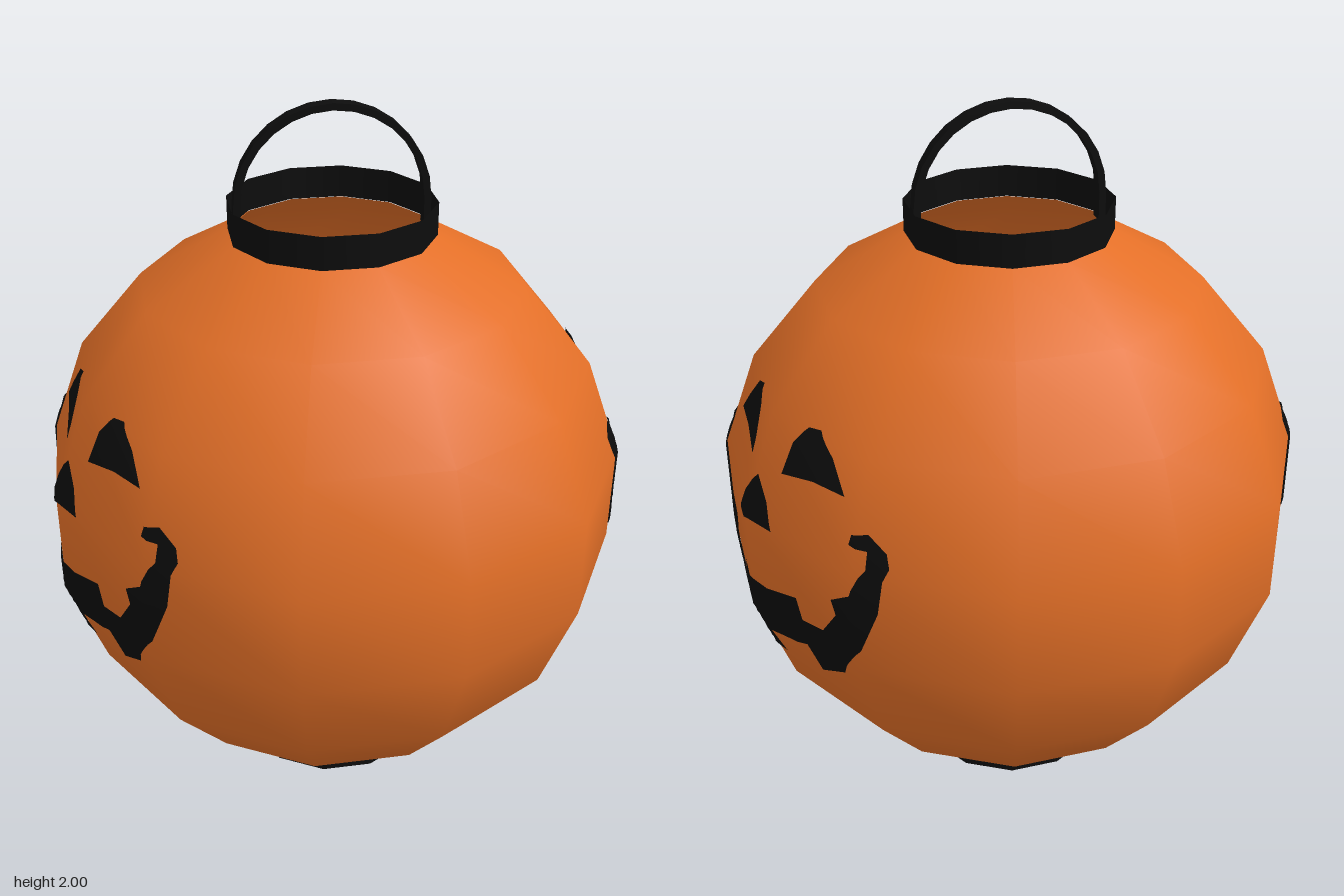
import * as THREE from 'three';

const orange = new THREE.MeshStandardMaterial({ color: 0xe36f27, side: THREE.DoubleSide });
orange.name = 'pumpkin orange';
const black = new THREE.MeshStandardMaterial({ color: 0x0d0d0d, side: THREE.DoubleSide });
black.name = 'black';

const SIDES = 12;
// Body profile: radius, height
const PROFILE = [[0.28, 0.1], [0.53, 0.24], [0.715, 0.46], [0.815, 0.735],
  [0.815, 1.02], [0.715, 1.29], [0.53, 1.51], [0.28, 1.65]];

// Face outlines in hundredths: sideways (viewer's right), height
const FACE = {
  leftEye: [-30, 117, -26, 122, -19, 129, -15, 130, -11, 126, -7.5, 119, -7, 115, -19, 117],
  rightEye: [9.5, 116.5, 10.5, 125, 14, 130, 18, 130.5, 25, 126, 32, 119, 20.5, 118.5],
  nose: [-5.5, 101, -4.5, 106.5, 1.5, 113.5, 7, 108, 11, 101.5, 2, 101.5],
  mouth: [-44, 109, -41, 112, -36.5, 111, -37, 108.5, -40, 108, -39.5, 102, -35.5, 95.5, -30, 90.5,
    -23, 88, -24, 85, -26, 80.5, -19, 78, -13, 75.5, -9, 73, -8, 83, 7, 82, 19, 85, 21, 79, 29, 80,
    34.5, 87.5, 33, 91.5, 40, 96, 43, 104, 42, 108.5, 37.5, 109, 37.5, 111.5, 41, 112.5, 45.5, 108.5,
    47, 105, 45.5, 92, 42, 80, 34, 68.5, 21, 61, 20.5, 70.5, 15, 68, 9, 66.5, 2, 64.5, 4.5, 58,
    -6, 59.5, -19, 63, -32, 70, -40, 77, -43.5, 89, -44.5, 104],
};

function part(name, geometry, material) {
  const mesh = new THREE.Mesh(geometry, material);
  mesh.name = name;
  return mesh;
}

// Distance out to the faceted body at height y, sideways offset u
function surfaceX(u, y) {
  let i = 0;
  while (i < PROFILE.length - 2 && y > PROFILE[i + 1][1]) i++;
  const [r0, y0] = PROFILE[i], [r1, y1] = PROFILE[i + 1];
  const r = r0 + (r1 - r0) * (y - y0) / (y1 - y0);
  const s = Math.abs(u);
  return Math.min(r - 0.268 * s, 1.366 * r - s);
}

// Thin skin that follows the body facets on the +x side
function decal(flat) {
  const outline = [];
  for (let i = 0; i < flat.length; i += 2) outline.push(new THREE.Vector2(flat[i] / 100, flat[i + 1] / 100));
  if (THREE.ShapeUtils.isClockWise(outline)) outline.reverse();
  const pos = [], nor = [];
  const split = (a, b, c) => {
    const ab = a.distanceTo(b), bc = b.distanceTo(c), ca = c.distanceTo(a);
    const longest = Math.max(ab, bc, ca);
    if (longest > 0.025) {
      // Turn the triangle so that its longest edge is a-b, then halve it
      if (longest === bc) [a, b, c] = [b, c, a];
      else if (longest === ca) [a, b, c] = [c, a, b];
      const m = a.clone().add(b).multiplyScalar(0.5);
      split(a, m, c);
      split(m, b, c);
      return;
    }
    for (const p of [a, b, c]) {
      const v = new THREE.Vector3(surfaceX(p.x, p.y), p.y, -p.x);
      const n = new THREE.Vector3(v.x, v.y - 0.875, v.z).normalize();
      v.addScaledVector(n, 0.006);
      pos.push(v.x, v.y, v.z);
      nor.push(n.x, n.y, n.z);
    }
  };
  for (const [i, j, k] of THREE.ShapeUtils.triangulateShape(outline, [])) split(outline[i], outline[j], outline[k]);
  const g = new THREE.BufferGeometry();
  g.setAttribute('position', new THREE.Float32BufferAttribute(pos, 3));
  g.setAttribute('normal', new THREE.Float32BufferAttribute(nor, 3));
  return g;
}

// Flat band bent into an arch with short straight feet
function handleGeometry() {
  const centre = 1.735, outer = 0.265, inner = 0.246, steps = 14, depth = 0.04;
  const points = [];
  const arc = (r, t) => points.push(new THREE.Vector2(r * Math.cos(t), centre + r * Math.sin(t)));
  points.push(new THREE.Vector2(outer, 1.66));
  for (let i = 0; i <= steps; i++) arc(outer, Math.PI * i / steps);
  points.push(new THREE.Vector2(-outer, 1.66), new THREE.Vector2(-inner, 1.66));
  for (let i = steps; i >= 0; i--) arc(inner, Math.PI * i / steps);
  points.push(new THREE.Vector2(inner, 1.66));
  const g = new THREE.ExtrudeGeometry(new THREE.Shape(points), { depth, bevelEnabled: false });
  return g.translate(0, 0, -depth / 2);
}

export function createModel() {
  const model = new THREE.Group();
  model.name = 'pumpkinLantern';

  // Hollow paper body, open at the top
  const profile = PROFILE.map(([r, y]) => new THREE.Vector2(r, y));
  model.add(part('body', new THREE.LatheGeometry(profile, SIDES), orange));

  // Collars and closed base
  const topCollar = part('topCollar', new THREE.CylinderGeometry(0.283, 0.283, 0.09, SIDES, 1, true), black);
  topCollar.position.y = 1.695;
  const bottomCollar = part('bottomCollar', new THREE.CylinderGeometry(0.283, 0.283, 0.1, SIDES, 1, true), black);
  bottomCollar.position.y = 0.05;
  const base = part('base', new THREE.CircleGeometry(0.283, SIDES), black);
  base.rotation.x = Math.PI / 2;
  model.add(topCollar, bottomCollar, base);

  // Carrying handle, turned slightly
  const handle = part('handle', handleGeometry(), black);
  handle.rotation.y = -Math.PI / 12;
  model.add(handle);

  // The same grin on both sides
  for (const side of ['left', 'right']) {
    const face = new THREE.Group();
    face.name = side + 'Face';
    for (const [name, outline] of Object.entries(FACE)) face.add(part(name, decal(outline), black));
    if (side === 'right') face.rotation.y = Math.PI;
    model.add(face);
  }
  return model;
}
